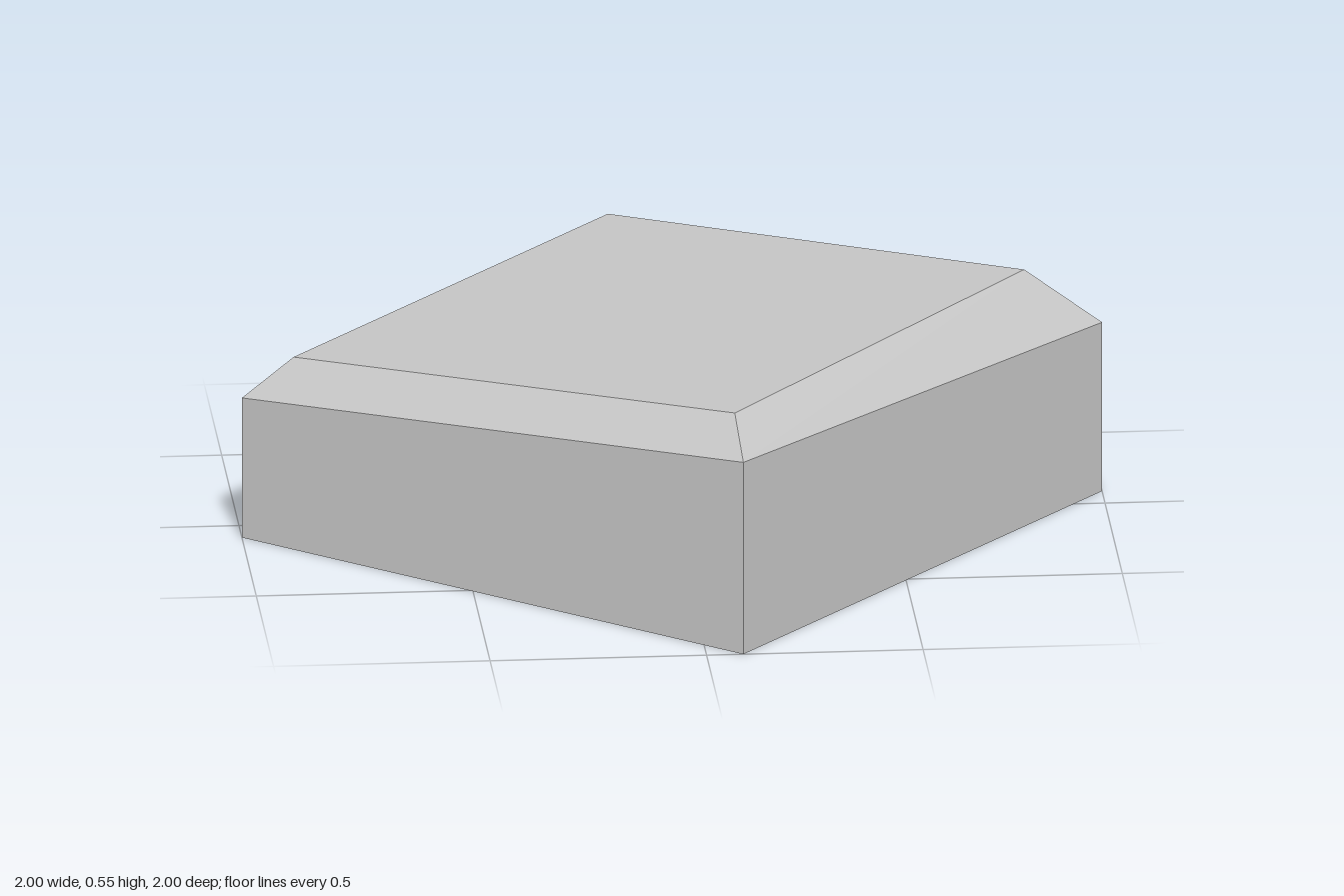
import * as THREE from 'three';

// Corner rings, in the order front, right, back, left
const base = [[0.085, 0, 1], [1, 0, -0.085], [-0.085, 0, -1], [-1, 0, 0.085]];
const rimHeights = [0.467, 0.411, 0.34, 0.34];
const rim = base.map(([x, , z], i) => [x, rimHeights[i], z]);
const crown = [[0.075, 0.545, 0.876], [0.82, 0.545, -0.083], [-0.078, 0.432, -0.88], [-0.88, 0.432, 0.073]];

// Flat faces from four-cornered quads
function quadMesh(name, quads, material) {
  const points = quads.flatMap(([a, b, c, d]) => [a, b, c, a, c, d]).flat();
  const geometry = new THREE.BufferGeometry();
  geometry.setAttribute('position', new THREE.Float32BufferAttribute(points, 3));
  geometry.computeVertexNormals();
  const mesh = new THREE.Mesh(geometry, material);
  mesh.name = name;
  return mesh;
}

// Band of quads joining two rings
function band(lower, upper) {
  return lower.map((corner, i) => {
    const j = (i + 1) % lower.length;
    return [corner, lower[j], upper[j], upper[i]];
  });
}

export function createModel() {
  const grey = new THREE.MeshStandardMaterial({ color: 0xc8c8c8, side: THREE.DoubleSide });
  grey.name = 'light grey';

  // Thin shell, open underneath
  const model = new THREE.Group();
  model.name = 'bevelledCap';
  model.add(
    quadMesh('sideWalls', band(base, rim), grey),
    quadMesh('bevel', band(rim, crown), grey),
    quadMesh('slopedTop', [crown], grey)
  );
  return model;
}
